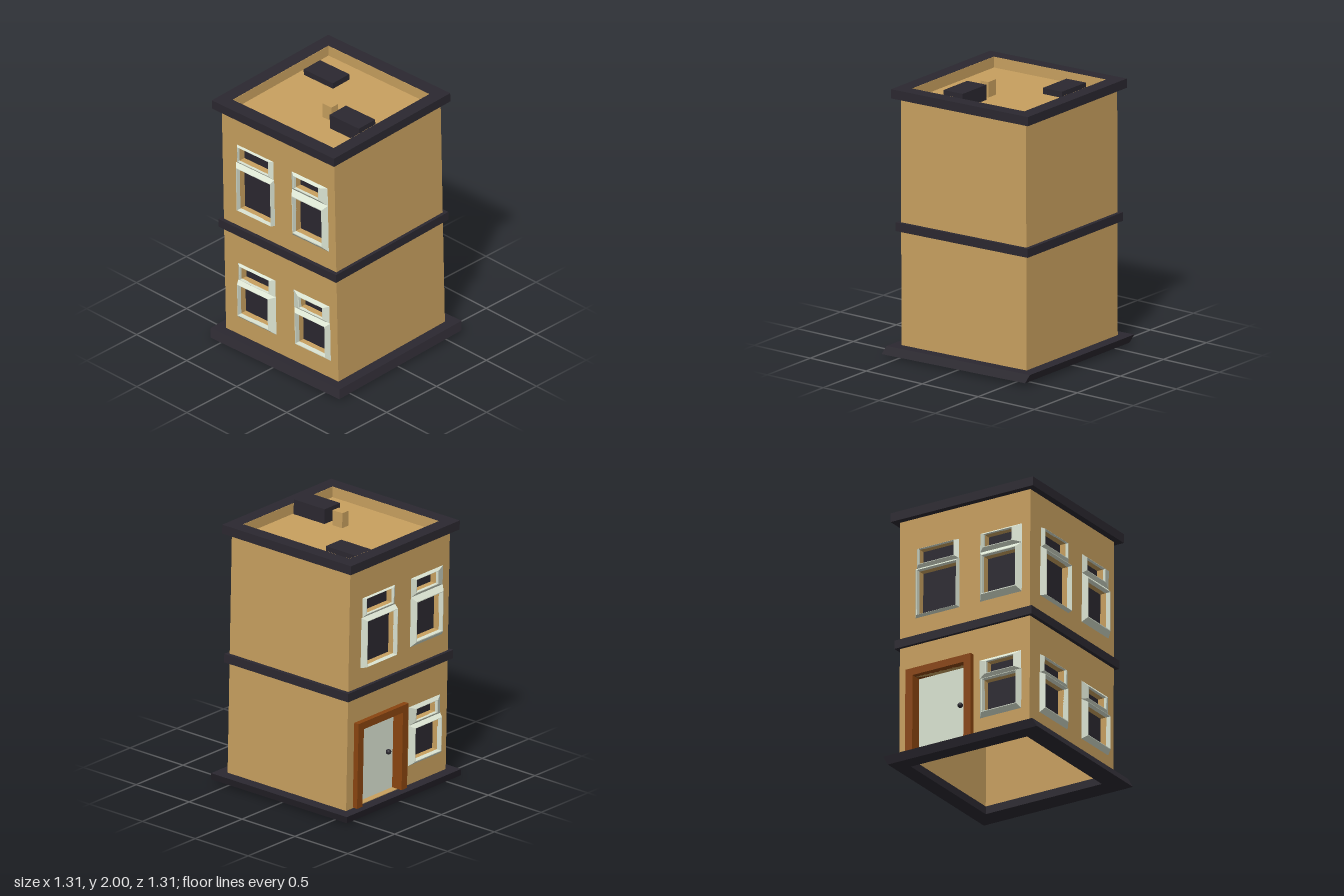
import * as THREE from 'three';

const mat = (color) => new THREE.MeshStandardMaterial({ color });
const tan = mat(0xc8a05f), dark = mat(0x2b2830), white = mat(0xdbe4d2), brown = mat(0x8a4510);

const HALF = 0.548, T = 0.058, WALL_TOP = 1.949; // wall half-width, thickness, top

function add(parent, name, geometry, material, x = 0, y = 0, z = 0) {
  const mesh = new THREE.Mesh(geometry, material);
  mesh.name = name;
  mesh.position.set(x, y, z);
  parent.add(mesh);
  return mesh;
}

// Corners of a rectangle [x0, x1, y0, y1], counter-clockwise
const corners = ([x0, x1, y0, y1]) => [[x0, y0], [x1, y0], [x1, y1], [x0, y1]];
const path = (Type, rect) => new Type(corners(rect).map(([x, y]) => new THREE.Vector2(x, y)));

function plate(rect, holes, depth) {
  const shape = path(THREE.Shape, rect);
  shape.holes = holes.map((h) => path(THREE.Path, h));
  return new THREE.ExtrudeGeometry(shape, { depth, bevelEnabled: false });
}

// Horizontal square ring standing on y = 0
const ring = (hx, hz, inner, height) =>
  plate([-hx, hx, -hz, hz], [[-inner, inner, -inner, inner]], height).rotateX(-Math.PI / 2);

// Bevelled casing lofted from the outer rectangle to the opening
function casing(outer, opening, depth) {
  const ridge = outer.map((v, i) => v + (opening[i] - v) * 0.85);
  const loops = [[outer, 0], [ridge, depth], [opening, depth], [opening, -0.005]];
  const pos = [], idx = [];
  for (const [rect, z] of loops) for (const [x, y] of corners(rect)) pos.push(x, y, z);
  for (let l = 0; l < loops.length - 1; l++) {
    for (let i = 0; i < 4; i++) {
      const a = l * 4 + i, b = l * 4 + (i + 1) % 4;
      idx.push(a, b, b + 4, a, b + 4, a + 4);
    }
  }
  const g = new THREE.BufferGeometry();
  g.setAttribute('position', new THREE.Float32BufferAttribute(pos, 3));
  g.setIndex(idx);
  const flat = g.toNonIndexed();
  flat.computeVertexNormals();
  return flat;
}

// Each window: lower casing, lower pane, upper casing, upper pane
const WINDOWS = {
  upperLeft: [[-0.416, -0.046, 1.109, 1.49], [-0.383, -0.056, 1.117, 1.463],
    [-0.406, -0.051, 1.49, 1.638], [-0.381, -0.086, 1.515, 1.632]],
  upperRight: [[0.127, 0.478, 1.108, 1.488], [0.161, 0.443, 1.153, 1.448],
    [0.127, 0.478, 1.488, 1.633], [0.168, 0.401, 1.518, 1.615]],
  lowerLeft: [[-0.418, -0.053, 0.203, 0.513], [-0.395, -0.103, 0.243, 0.493],
    [-0.416, -0.053, 0.513, 0.653], [-0.384, -0.103, 0.533, 0.641]],
  lowerRight: [[0.129, 0.477, 0.203, 0.51], [0.167, 0.452, 0.238, 0.488],
    [0.125, 0.473, 0.51, 0.652], [0.192, 0.42, 0.535, 0.625]],
};
const DOOR = [-0.42, 0.02, 0.065, 0.655];

// One wall facing +z, with its windows and optional door
function makeSide(name, halfWidth, windowNames, hasDoor = false) {
  const side = new THREE.Group();
  side.name = name;
  const holes = windowNames.flatMap((n) => [WINDOWS[n][1], WINDOWS[n][3]]);
  if (hasDoor) holes.push(DOOR);
  add(side, 'wall', plate([-halfWidth, halfWidth, 0.03, WALL_TOP], holes, T), tan, 0, 0, HALF - T);

  for (const n of windowNames) {
    const win = new THREE.Group();
    win.name = n + 'Window';
    win.position.z = HALF;
    const [lowCase, lowPane, topCase, topPane] = WINDOWS[n];
    add(win, 'lowerCasing', casing(lowCase, lowPane, 0.035), white);
    add(win, 'upperCasing', casing(topCase, topPane, 0.02), white);
    for (const pane of [lowPane, topPane]) add(win, 'pane', plate(pane, [], 0.012), dark, 0, 0, -T - 0.002);
    side.add(win);
  }

  if (hasDoor) {
    const [x0, x1, y0, y1] = DOOR;
    const door = new THREE.Group();
    door.name = 'door';
    door.position.z = HALF;
    add(door, 'doorPanel', plate(DOOR, [], 0.015), white, 0, 0, -T - 0.005);
    // Jambs and lintel
    for (const x of [x0 - 0.025, x1 + 0.025]) {
      add(door, 'jamb', new THREE.BoxGeometry(0.06, y1 - y0, 0.11), brown, x, (y0 + y1) / 2, -0.015);
    }
    add(door, 'lintel', new THREE.BoxGeometry(x1 - x0 + 0.11, 0.055, 0.11), brown, (x0 + x1) / 2, y1 + 0.0275, -0.015);
    // Knobs on both faces
    for (const z of [-0.028, -0.082]) {
      add(door, 'knob', new THREE.SphereGeometry(0.02, 10, 8), dark, x1 - 0.075, 0.36, z);
    }
    side.add(door);
  }
  return side;
}

export function createModel() {
  const model = new THREE.Group();
  model.name = 'townhouse';

  // The whole house leans and turns slightly
  const house = new THREE.Group();
  house.name = 'house';
  house.rotation.set(0.0115, 0.0255, 0.0118);
  house.position.set(-0.011, 0.0155, -0.003);
  model.add(house);

  // Walls
  const front = makeSide('frontSide', HALF, Object.keys(WINDOWS));
  const doorSide = makeSide('doorSide', HALF - T, ['upperLeft', 'upperRight', 'lowerRight'], true);
  doorSide.rotation.y = -Math.PI / 2;
  const back = makeSide('backSide', HALF, []);
  back.rotation.y = Math.PI;
  const plain = makeSide('plainSide', HALF - T, []);
  plain.rotation.y = Math.PI / 2;
  house.add(front, doorSide, back, plain);

  // Slanted plinth: the bottom edge is shifted sideways
  const plinth = ring(0.628, 0.628, 0.489, 0.06);
  const p = plinth.attributes.position;
  for (let i = 0; i < p.count; i++) {
    const outer = Math.abs(p.getX(i)) > 0.55;
    if (!outer) continue;
    const low = p.getY(i) < 0.03;
    p.setX(i, p.getX(i) + (low ? 0.021 : 0));
    p.setZ(i, p.getZ(i) + (low ? 0.02 : -0.007));
  }
  plinth.computeVertexNormals();
  add(house, 'plinth', plinth, dark);

  // Trim bands
  add(house, 'floorBand', ring(0.573, 0.578, 0.52, 0.064), dark, 0, 0.902, 0);
  add(house, 'cornice', ring(0.595, 0.599, 0.493, 0.068), dark, 0, 1.882, 0);

  // Roof and the boxes on it
  add(house, 'roof', new THREE.BoxGeometry(1, 0.02, 1), tan, 0, 1.86, 0);
  const roofBox = (name, w, d, top, x, z, m) =>
    add(house, name, new THREE.BoxGeometry(w, top - 1.865, d), m, x, (top + 1.865) / 2, z);
  roofBox('frontRoofBox', 0.285, 0.168, 1.982, 0.34, 0.138, dark);
  roofBox('backRoofBox', 0.285, 0.168, 1.915, -0.298, -0.267, dark);
  roofBox('chimney', 0.09, 0.068, 1.984, 0.098, 0.111, tan);

  return model;
}
